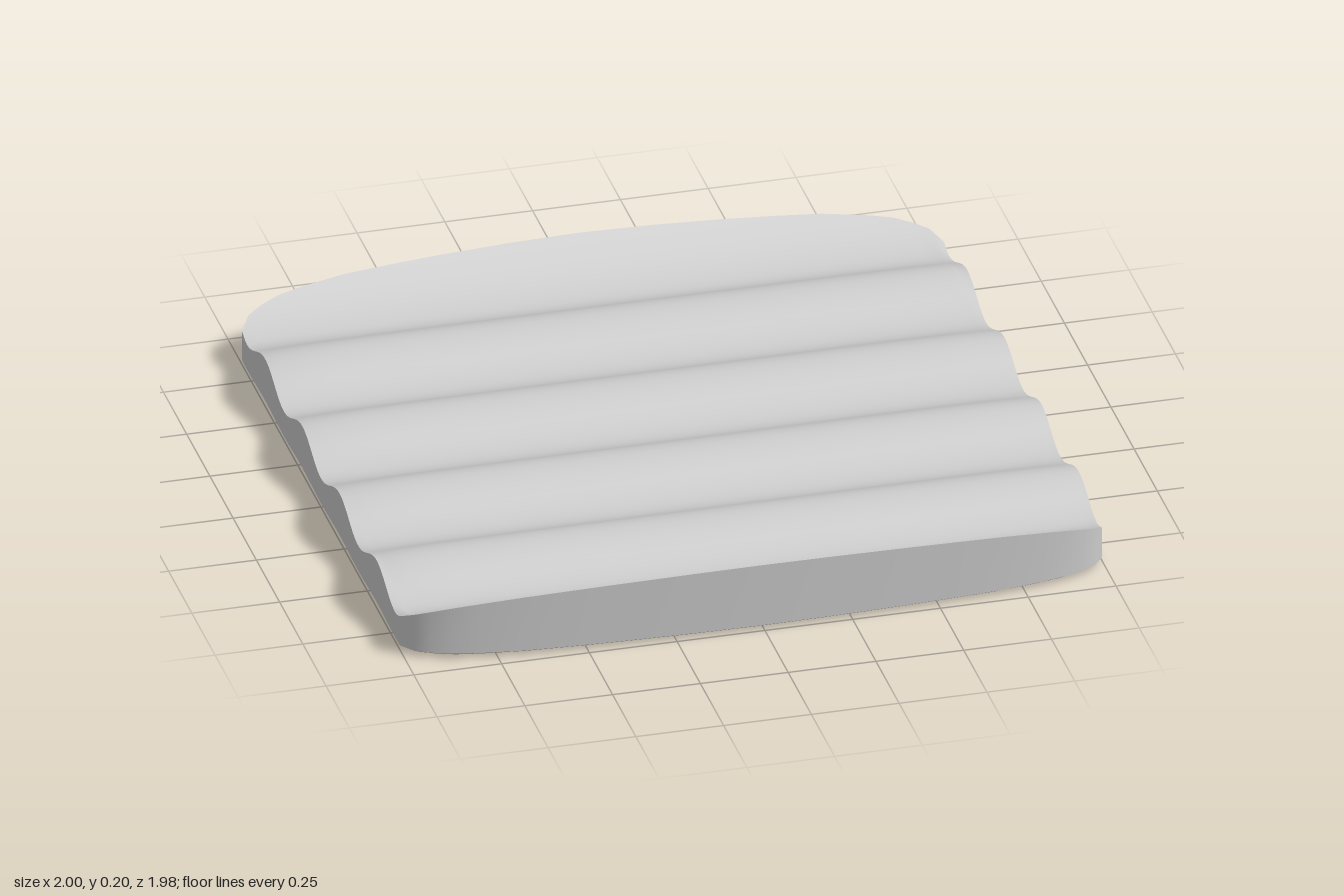
import * as THREE from 'three';

// Half outline of the slab: [x, half depth]
const HALF = [[0, 0.99], [0.2, 0.987], [0.4, 0.98], [0.54, 0.973], [0.68, 0.964],
  [0.8, 0.948], [0.875, 0.934], [0.93, 0.914], [0.97, 0.893], [1, 0.85]];
const OUTLINE = [...HALF.slice(1).reverse().map(([x, z]) => [-x, z]), ...HALF];
const ROWS = 96;

// Height of the rippled top: four ridges, with the two ends swept up
function topHeight(x, z) {
  const a = Math.abs(z);
  if (a > 0.8) return 0.09 + 0.11 * Math.pow((a - 0.8) / 0.19, 1.5);
  const ridge = 0.5 - 0.5 * Math.cos((z * Math.PI * 2) / 0.4);
  return 0.09 + 0.07 * ridge * (1 - 0.17 * Math.pow(Math.abs(x), 8));
}

// Lower rim rises gently under each ridge on the sides
const rimHeight = (x, z) => 0.012 + 0.1 * Math.abs(x) ** 8 * Math.max(0, Math.min(topHeight(x, z), 0.16) - 0.09);

// Smooth grid surface; its front faces along du x dv
function surface(name, nu, nv, point) {
  const positions = [], index = [];
  for (let i = 0; i < nu; i++) {
    for (let j = 0; j < nv; j++) {
      positions.push(...point(i, j));
      if (i < nu - 1 && j < nv - 1) {
        const a = i * nv + j, b = a + nv;
        index.push(a, b, b + 1, a, b + 1, a + 1);
      }
    }
  }
  const geometry = new THREE.BufferGeometry();
  geometry.setAttribute('position', new THREE.Float32BufferAttribute(positions, 3));
  geometry.setIndex(index);
  geometry.computeVertexNormals();
  const mesh = new THREE.Mesh(geometry, new THREE.MeshStandardMaterial({ color: 0xcccccc }));
  mesh.name = name;
  return mesh;
}

export function createModel() {
  const group = new THREE.Group();
  group.name = 'rippledTray';
  const n = OUTLINE.length;
  const inset = 0.98;
  const across = (i) => (i / ROWS) * 2 - 1;

  // Rippled top
  group.add(surface('rippledTop', ROWS + 1, n, (i, j) => {
    const [x, half] = OUTLINE[j];
    const z = across(i) * half;
    return [x, topHeight(x, z), z];
  }));

  // Flat underside
  group.add(surface('underside', n, ROWS + 1, (i, j) => {
    const [x, half] = OUTLINE[i];
    return [x * inset, 0, across(j) * half * inset];
  }));

  // Closed perimeter: front, right end, back, left end
  const loop = [...OUTLINE];
  for (let i = 1; i < ROWS; i++) loop.push([1, -across(i) * 0.85]);
  for (let i = n - 1; i >= 0; i--) loop.push([OUTLINE[i][0], -OUTLINE[i][1]]);
  for (let i = 1; i <= ROWS; i++) loop.push([-1, across(i) * 0.85]);

  // Upright wall
  group.add(surface('sideWall', loop.length, 2, (i, j) => {
    const [x, z] = loop[i];
    return [x, j ? topHeight(x, z) : rimHeight(x, z), z];
  }));

  // Bevel joining the wall to the underside
  group.add(surface('lowerBevel', loop.length, 2, (i, j) => {
    const [x, z] = loop[i];
    return j ? [x, rimHeight(x, z), z] : [x * inset, 0, z * inset];
  }));

  return group;
}
